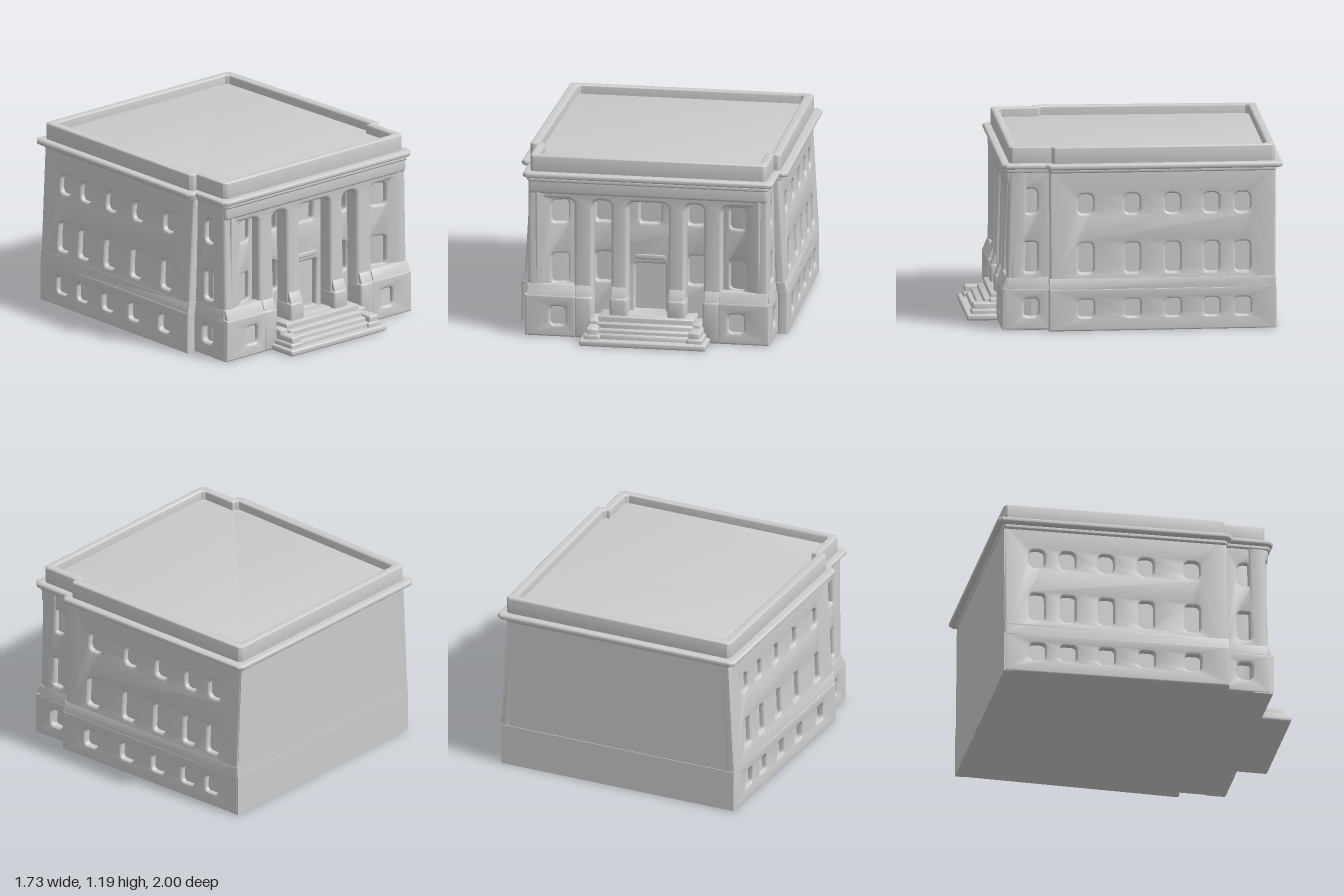
import * as THREE from 'three';
import { toCreasedNormals } from 'three/addons/utils/BufferGeometryUtils.js';
import { RoundedBoxGeometry } from 'three/addons/geometries/RoundedBoxGeometry.js';

const material = new THREE.MeshStandardMaterial({ color: 0xcccccc });

export function createModel() {
  const model = new THREE.Group();

  // Adds a mesh; the plan narrows slightly towards the back
  function add(name, geometry) {
    const p = geometry.attributes.position;
    for (let i = 0; i < p.count; i++) {
      const z = p.getZ(i);
      if (z < 0.5) p.setX(i, p.getX(i) * (1 + 0.02 * (z - 0.5)));
    }
    const mesh = new THREE.Mesh(toCreasedNormals(geometry, 0.7), material);
    mesh.name = name;
    model.add(mesh);
  }

  // Rounded rectangle path, used for window and bay openings
  function opening(x0, x1, y0, y1, r = 0.03, rBottom = r) {
    const s = new THREE.Path();
    s.moveTo(x0 + rBottom, y0);
    s.lineTo(x1 - rBottom, y0);
    s.quadraticCurveTo(x1, y0, x1, y0 + rBottom);
    s.lineTo(x1, y1 - r);
    s.quadraticCurveTo(x1, y1, x1 - r, y1);
    s.lineTo(x0 + r, y1);
    s.quadraticCurveTo(x0, y1, x0, y1 - r);
    s.lineTo(x0, y0 + rBottom);
    s.quadraticCurveTo(x0, y0, x0 + rBottom, y0);
    return s;
  }

  // Upright wall with openings; dist(y, u) gives where its outer face lies
  function panel(name, u0, u1, y0, y1, holes, depth, dist, angle = 0, bevel = 0.015) {
    const shape = new THREE.Shape([[u0, y0], [u1, y0], [u1, y1], [u0, y1]].map(a => new THREE.Vector2(...a)));
    shape.holes = holes;
    const g = new THREE.ExtrudeGeometry(shape, {
      depth: depth - 2 * bevel, bevelThickness: bevel, bevelSize: bevel,
      bevelOffset: -bevel, bevelSegments: 3, curveSegments: 5
    });
    g.translate(0, 0, bevel - depth);
    const p = g.attributes.position;
    for (let i = 0; i < p.count; i++) p.setZ(i, p.getZ(i) + dist(p.getY(i), p.getX(i)));
    g.rotateY(angle);
    add(name, g);
  }

  // Sloped strip leading from the base band back to the wall above
  function baseSlope(u0, u1, low, high, angle) {
    panel('baseSlope', u0, u1, 0.262, 0.34, [], 0.06,
      (y, u) => THREE.MathUtils.mapLinear(y, 0.265, 0.337, low(u), high), angle, 0.003);
  }

  // Box whose half width changes from bottom to top
  function taperedBlock(name, bottom, top, y0, y1, z0, z1) {
    const g = new THREE.BoxGeometry(2, y1 - y0, z1 - z0);
    g.translate(0, (y0 + y1) / 2, (z0 + z1) / 2);
    const p = g.attributes.position;
    for (let i = 0; i < p.count; i++) {
      p.setX(i, p.getX(i) * THREE.MathUtils.mapLinear(p.getY(i), y0, y1, bottom, top));
    }
    add(name, g);
  }

  function block(name, x0, x1, y0, y1, z0, z1, r = 0.012) {
    const g = new RoundedBoxGeometry(x1 - x0, y1 - y0, z1 - z0, 2, r);
    g.translate((x0 + x1) / 2, (y0 + y1) / 2, (z0 + z1) / 2);
    add(name, g);
  }

  // Horizontal layer with the stepped outline of the building, corners cut by c
  function outline(hx, hf, zb, zs, zf, c = 0.02) {
    const half = [[hf - c, -zf], [hf, -zf + c], [hf, -zs], [hx - c, -zs], [hx, -zs + c], [hx, -zb - c], [hx - c, -zb]];
    const other = half.map(([x, y]) => [-x, y]).reverse();
    return [...half, ...other].map(a => new THREE.Vector2(...a));
  }

  function layer(name, outer, y0, y1, bevel, inner) {
    const shape = new THREE.Shape(outline(...outer));
    if (inner) shape.holes.push(new THREE.Path(outline(...inner)));
    const g = new THREE.ExtrudeGeometry(shape, {
      depth: y1 - y0 - 2 * bevel, bevelThickness: bevel, bevelSize: bevel,
      bevelOffset: -bevel, bevelSegments: 3
    });
    g.rotateX(-Math.PI / 2);
    g.translate(0, y0 + bevel, 0);
    add(name, g);
  }

  // Solid cores behind the walls, and the underside
  taperedBlock('mainCore', 0.825, 0.777, 0, 1.05, -0.94, 0.48);
  taperedBlock('frontCore', 0.755, 0.738, 0, 1.05, 0.47, 0.62);
  layer('floorSlab', [0.84, 0.78, -0.95, 0.49, 0.78], 0, 0.03, 0.004);

  // Back wall, plain, with a base band
  taperedBlock('backWall', 0.842, 0.803, 0.27, 1.05, -0.953, -0.9);
  taperedBlock('backBase', 0.845, 0.845, 0, 0.275, -0.958, -0.9);

  // Side walls with three rows of windows
  const sideWindowZ = [0.27, -0.03, -0.29, -0.54, -0.74];
  const upperSide = y => THREE.MathUtils.mapLinear(y, 0.27, 1.04, 0.85, 0.806);
  for (const side of [1, -1]) {
    const angle = side * Math.PI / 2;
    const span = (z0, z1) => side > 0 ? [-z1, -z0] : [z0, z1];
    const windows = (list, w, y0, y1, r) =>
      list.map(z => opening(-side * z - w, -side * z + w, y0, y1, r));
    // The base band projects less towards the back
    const baseFace = u => 0.866 - 0.012 * (0.5 + side * u);

    panel('sideWall', ...span(-0.953, 0.5), 0.25, 1.05,
      [...windows(sideWindowZ, 0.048, 0.375, 0.565), ...windows(sideWindowZ, 0.05, 0.755, 0.88, 0.04)],
      0.065, upperSide, angle);
    panel('sideBase', ...span(-0.955, 0.508), 0, 0.275,
      windows(sideWindowZ, 0.052, 0.09, 0.205), 0.065, (y, u) => baseFace(u), angle, 0.012);
    baseSlope(...span(-0.953, 0.505), u => baseFace(u) - 0.003, 0.847, angle);

    // Sides of the projecting front block
    panel('frontBlockSide', ...span(0.47, 0.745), 0.25, 1.05,
      [...windows([0.62], 0.045, 0.375, 0.57), ...windows([0.62], 0.045, 0.755, 0.915, 0.045)],
      0.06, y => 0.79 - 0.018 * y, angle);
    panel('frontBlockSideBase', ...span(0.47, 0.793), 0, 0.275,
      windows([0.62], 0.048, 0.09, 0.205), 0.06, () => 0.798, angle);
    baseSlope(...span(0.47, 0.77), () => 0.796, 0.785, angle);
    const [c0, c1] = [side * 0.69, side * 0.745].sort((a, b) => a - b);
    block('frontBlockCore', c0, c1, 0.02, 1.03, 0.45, 0.7);
  }

  // Front screen: round-topped bays whose piers read as columns
  const mirrored = f => [1, -1].map(f);
  const bay = (s, a, b, y0, y1, r, rb) => opening(Math.min(s * a, s * b), Math.max(s * a, s * b), y0, y1, r, rb);
  panel('frontColumns', -0.78, 0.78, 0, 1.05, [
    opening(-0.132, 0.132, 0.165, 0.905, 0.05, 0.005),
    ...mirrored(s => bay(s, 0.24, 0.362, 0.13, 0.905, 0.05, 0.005)),
    ...mirrored(s => bay(s, 0.48, 0.7, 0.27, 0.905, 0.05, 0.005))
  ], 0.12, y => 0.783 - 0.022 * y, 0, 0.022);

  // Portico back wall with door and windows
  panel('porticoWall', -0.46, 0.46, 0.02, 1, [
    opening(-0.1, 0.1, 0.165, 0.475, 0.02, 0.005),
    opening(-0.07, 0.07, 0.745, 0.9),
    ...mirrored(s => bay(s, 0.245, 0.355, 0.345, 0.54)),
    ...mirrored(s => bay(s, 0.245, 0.355, 0.745, 0.89))
  ], 0.06, () => 0.668);
  block('doorHood', -0.1, 0.1, 0.5, 0.54, 0.64, 0.673);

  // Outer bays slope forward until flush with the front corners
  const slope = (y, x) => 0.69 + (Math.abs(x) - 0.46) * 0.33;
  for (const s of [1, -1]) {
    const [u0, u1] = [s * 0.45, s * 0.73].sort((a, b) => a - b);
    panel('outerBayWall', u0, u1, 0.22, 1,
      [bay(s, 0.525, 0.63, 0.345, 0.535), bay(s, 0.525, 0.63, 0.745, 0.89)], 0.045, slope);
    panel('outerBayBacking', u0, u1, 0.22, 1, [], 0.04, (y, x) => slope(y, x) - 0.033);

    // Front base with a low window, and the column pedestals
    const [b0, b1] = [s * 0.46, s * 0.795].sort((a, b) => a - b);
    panel('frontBase', b0, b1, 0, 0.275, [bay(s, 0.53, 0.63, 0.08, 0.2)], 0.14, () => 0.808, 0, 0.015);
    const [t0, t1] = [s * 0.47, s * 0.782].sort((a, b) => a - b);
    baseSlope(t0, t1, () => 0.805, 0.777, 0);
    for (const [a, b, y0] of [[0.13, 0.245, 0.12], [0.36, 0.475, 0]]) {
      const [p0, p1] = [s * a, s * b].sort((m, n) => m - n);
      block('columnPedestal', p0, p1, y0, 0.275, 0.66, 0.808, 0.018);
      baseSlope(p0 + 0.01, p1 - 0.01, () => 0.803, 0.777, 0);
    }
  }
  // Plain band over the bays, meeting the cornice
  block('frieze', -0.775, 0.775, 0.94, 1.05, 0.68, 0.776, 0.018);

  // Cornice, parapet and sunken roof
  const well = [0.755, 0.715, -0.9, 0.455, 0.71];
  layer('corniceBed', [0.825, 0.785, -0.962, 0.505, 0.79], 1.02, 1.05, 0.012, well);
  layer('cornice', [0.866, 0.812, -1, 0.525, 0.806, 0.03], 1.045, 1.082, 0.016, well);
  layer('parapet', [0.815, 0.768, -0.952, 0.485, 0.757], 1.06, 1.19, 0.012, well);
  layer('roof', [0.78, 0.73, -0.92, 0.47, 0.73], 1.12, 1.13, 0.002);

  // Entrance steps between low cheek blocks
  block('stepSlab', -0.41, 0.41, 0, 0.04, 0.66, 1);
  [[0.95, 0.07], [0.92, 0.095], [0.88, 0.125], [0.84, 0.16]].forEach(([z, top]) =>
    block('step', -0.31, 0.31, 0.01, top, 0.66, z, 0.008));
  for (const s of [1, -1]) {
    const [c0, c1] = [s * 0.295, s * 0.37].sort((a, b) => a - b);
    block('stepCheek', c0, c1, 0.01, 0.11, 0.75, 0.96, 0.012);
    block('stepCheekBase', c0 - 0.015, c1 + 0.015, 0.01, 0.07, 0.75, 0.97, 0.012);
    block('stepCheekTop', c0, c1 - 0.01, 0.05, 0.135, 0.75, 0.85, 0.012);
  }

  return model;
}
